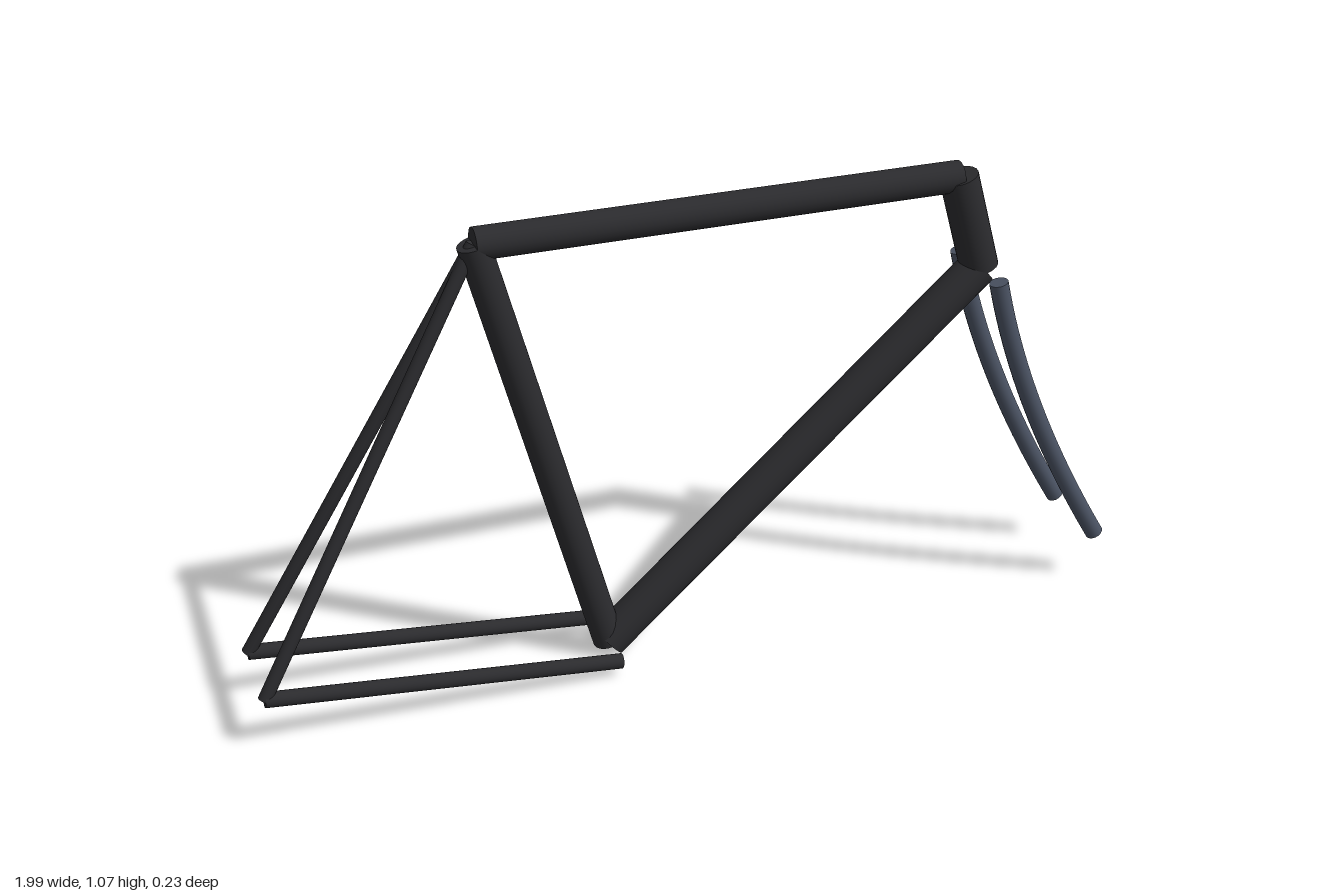
import * as THREE from 'three';

const frameMat = new THREE.MeshStandardMaterial({ color: 0x2b2b2e });
const forkMat = new THREE.MeshStandardMaterial({ color: 0x4a5262 });
const v = (x, y, z = 0) => new THREE.Vector3(x, y, z);

// Straight capped tube between two points
function tube(name, a, b, radius) {
  const dir = b.clone().sub(a);
  const mesh = new THREE.Mesh(new THREE.CylinderGeometry(radius, radius, dir.length(), 20), frameMat);
  mesh.name = name;
  mesh.position.copy(a).add(b).multiplyScalar(0.5);
  mesh.quaternion.setFromUnitVectors(v(0, 1), dir.normalize());
  return mesh;
}

// Curved fork blade with flat discs closing both ends
function forkBlade(name, z) {
  const radius = 0.021;
  const curve = new THREE.QuadraticBezierCurve3(v(0.676, 0.815, z), v(0.75, 0.5, z), v(0.978, 0.123, z));
  const blade = new THREE.Group();
  blade.name = name;
  const body = new THREE.Mesh(new THREE.TubeGeometry(curve, 24, radius, 16), forkMat);
  body.name = name + 'Tube';
  blade.add(body);
  for (const t of [0, 1]) {
    const cap = new THREE.Mesh(new THREE.CircleGeometry(radius, 16), forkMat);
    cap.name = name + (t ? 'LowerCap' : 'UpperCap');
    cap.position.copy(curve.getPoint(t));
    cap.quaternion.setFromUnitVectors(v(0, 0, 1), curve.getTangent(t).multiplyScalar(t ? 1 : -1));
    blade.add(cap);
  }
  return blade;
}

export function createModel() {
  const model = new THREE.Group();
  model.name = 'bicycleFrame';

  // Joints shared by the tubes
  const bottomBracket = v(-0.2, 0.034);
  const seatTop = v(-0.466, 1.038);
  const headTop = v(0.613, 1.035);
  const headBottom = v(0.676, 0.815);

  // Main frame
  model.add(
    tube('seatTube', bottomBracket, seatTop, 0.035),
    tube('topTube', seatTop, headTop, 0.035),
    tube('downTube', bottomBracket, headBottom, 0.043),
    tube('headTube', headBottom, headTop, 0.043)
  );

  // Paired rear stays and fork blades
  for (const side of [-1, 1]) {
    const label = side > 0 ? 'front' : 'back';
    const z = side * 0.095;
    const axle = v(-0.985, 0.122, z);
    model.add(
      tube(label + 'ChainStay', v(bottomBracket.x, 0.035, z), axle, 0.017),
      tube(label + 'SeatStay', seatTop, axle, 0.015),
      forkBlade(label + 'ForkBlade', z)
    );
  }
  return model;
}
